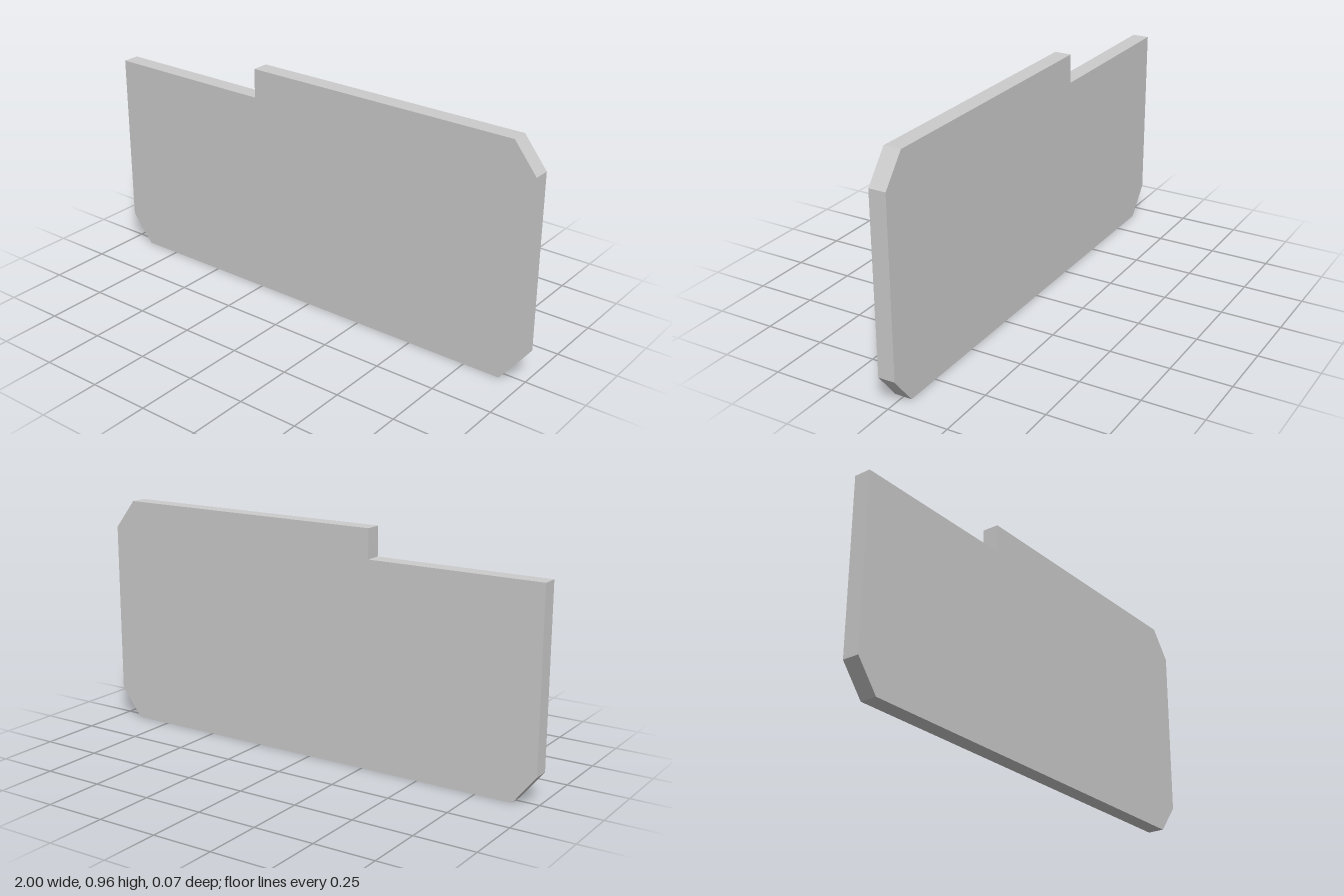
import * as THREE from 'three';

export function createModel() {
  const group = new THREE.Group();
  const thickness = 0.07;

  // Outline: three chamfered corners and a stepped-down top edge on the -x side
  const outline = [
    [-0.905, 0], [0.905, 0], [1, 0.12], [1, 0.845],
    [0.905, 0.965], [-0.27, 0.965], [-0.27, 0.845],
    [-1, 0.845], [-1, 0.12],
  ].map(([x, y]) => new THREE.Vector2(x, y));

  // Flat panel, centred on z = 0
  const geometry = new THREE.ExtrudeGeometry(new THREE.Shape(outline), {
    depth: thickness,
    bevelEnabled: false,
  });
  geometry.translate(0, 0, -thickness / 2);

  const material = new THREE.MeshStandardMaterial({ color: 0xcccccc, flatShading: true });
  const panel = new THREE.Mesh(geometry, material);
  panel.name = 'panel';
  group.add(panel);
  return group;
}
